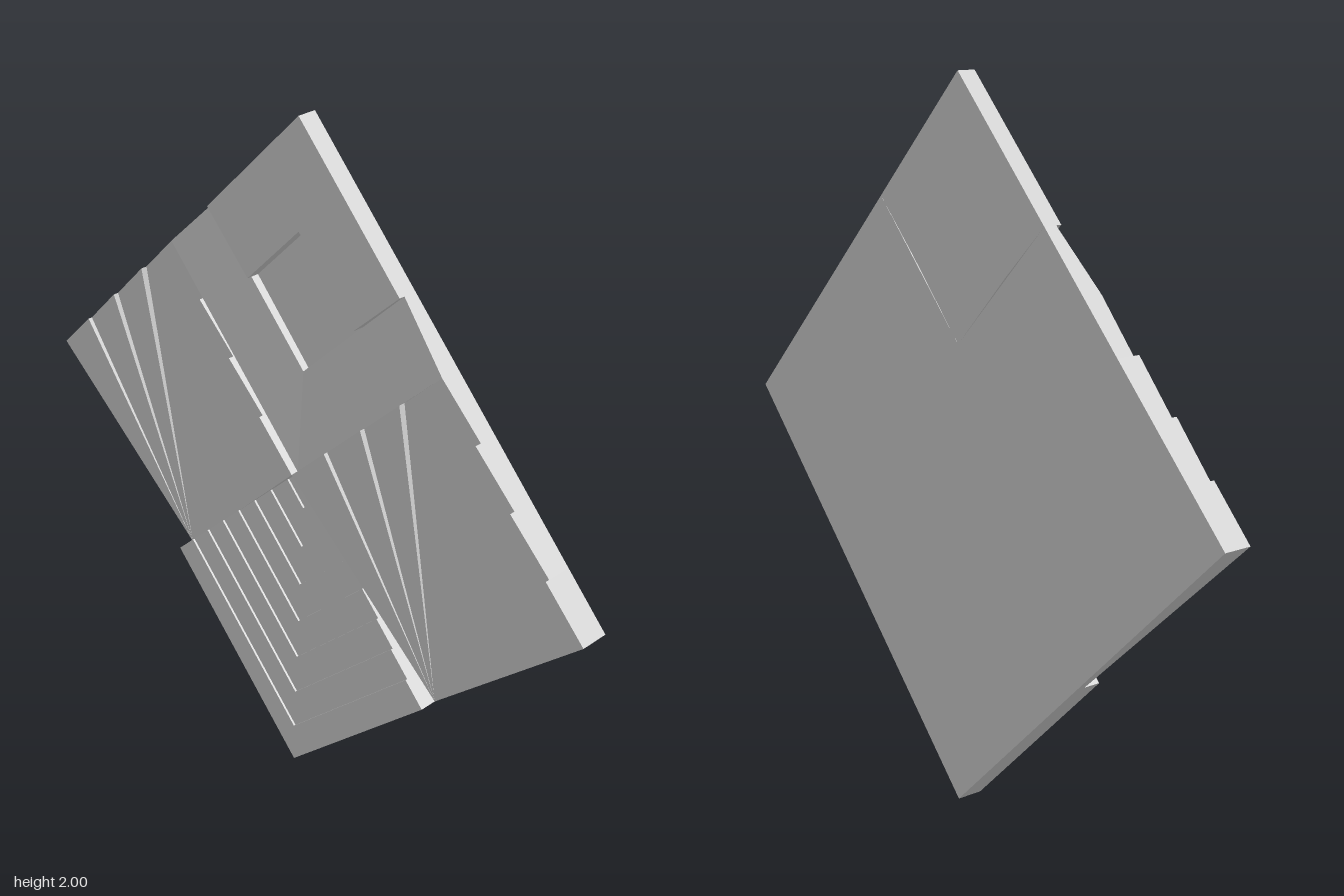
import * as THREE from 'three';

const BACK = -0.037;
const material = new THREE.MeshStandardMaterial({ color: 0xcccccc, flatShading: true });

// Solid piece: outline corners [x, y, z] form the front, extruded back to the flat rear.
function slab(name, corners) {
  let pts = corners.map(([x, y, z]) => new THREE.Vector3(x, y, z));
  if (THREE.ShapeUtils.area(pts) < 0) pts = pts.reverse();
  const rear = pts.map((p) => new THREE.Vector3(p.x, p.y, BACK));
  const tris = [];
  const flat = pts.map((p) => new THREE.Vector2(p.x, p.y));
  for (const [a, b, c] of THREE.ShapeUtils.triangulateShape(flat, [])) {
    tris.push(pts[a], pts[b], pts[c], rear[a], rear[c], rear[b]);
  }
  pts.forEach((p, i) => {
    const j = (i + 1) % pts.length;
    tris.push(rear[i], rear[j], pts[j], rear[i], pts[j], p);
  });
  const geometry = new THREE.BufferGeometry().setFromPoints(tris);
  geometry.computeVertexNormals();
  const mesh = new THREE.Mesh(geometry, material);
  mesh.name = name;
  return mesh;
}

// Folded fan: four stepped blades either side of its middle, rising outwards.
function makeFan(name, cx) {
  const fan = new THREE.Group();
  fan.name = name;
  const heights = [0.02, 0.031, 0.039, 0.044];
  for (const side of [-1, 1]) {
    heights.forEach((h, k) => {
      const a = k / 8, b = (k + 1) / 8;
      fan.add(slab('fanBlade', [
        [cx, 0.5, -0.012],
        [cx + side * a, 1.5 - a, h],
        [cx + side * b, 1.5 - b, h - (k < 3 ? 0.007 : 0.002)],
      ]));
    });
  }
  return fan;
}

// Terraced lower diamond: chevrons stepping down towards the centre.
function makeTerrace() {
  const terrace = new THREE.Group();
  terrace.name = 'chevronTerrace';
  for (let k = 0; k < 8; k++) {
    const z = 0.037 - k * 0.006;
    const a = k / 16, b = (k + 1) / 16;
    for (const side of [-1, 1]) {
      const corners = [
        [0, 2 * a, z],
        [side * (0.5 - a), 0.5 + a, z],
        [side * (0.5 - b), 0.5 + b, z],
      ];
      if (k < 7) corners.push([0, 2 * b, z]);
      terrace.add(slab('chevronStep', corners));
    }
  }
  return terrace;
}

// Upper diamond: flat top arms, sloping V band and a sunken centre.
function makeFrame() {
  const frame = new THREE.Group();
  frame.name = 'upperFrame';
  const top = 0.016, low = 0, outer = 0.02;
  frame.add(slab('topArms', [
    [0, 2, top], [-0.35, 1.65, top], [-0.195, 1.5, top],
    [0, 1.7, top], [0.195, 1.5, top], [0.35, 1.65, top],
  ]));
  for (const side of [-1, 1]) {
    frame.add(slab('lowerBand', [
      [0, 1, outer], [side * 0.5, 1.5, outer],
      [side * 0.35, 1.65, low], [0, 1.3, low],
    ]));
  }
  const floor = -0.02;
  frame.add(slab('sunkenCentre', [
    [0, 1.7, floor], [-0.195, 1.5, floor], [0, 1.3, floor], [0.195, 1.5, floor],
  ]));
  return frame;
}

export function createModel() {
  const model = new THREE.Group();
  model.name = 'diamondPlaque';
  model.add(makeFan('leftFan', 0.5), makeFan('rightFan', -0.5), makeTerrace(), makeFrame());
  return model;
}
